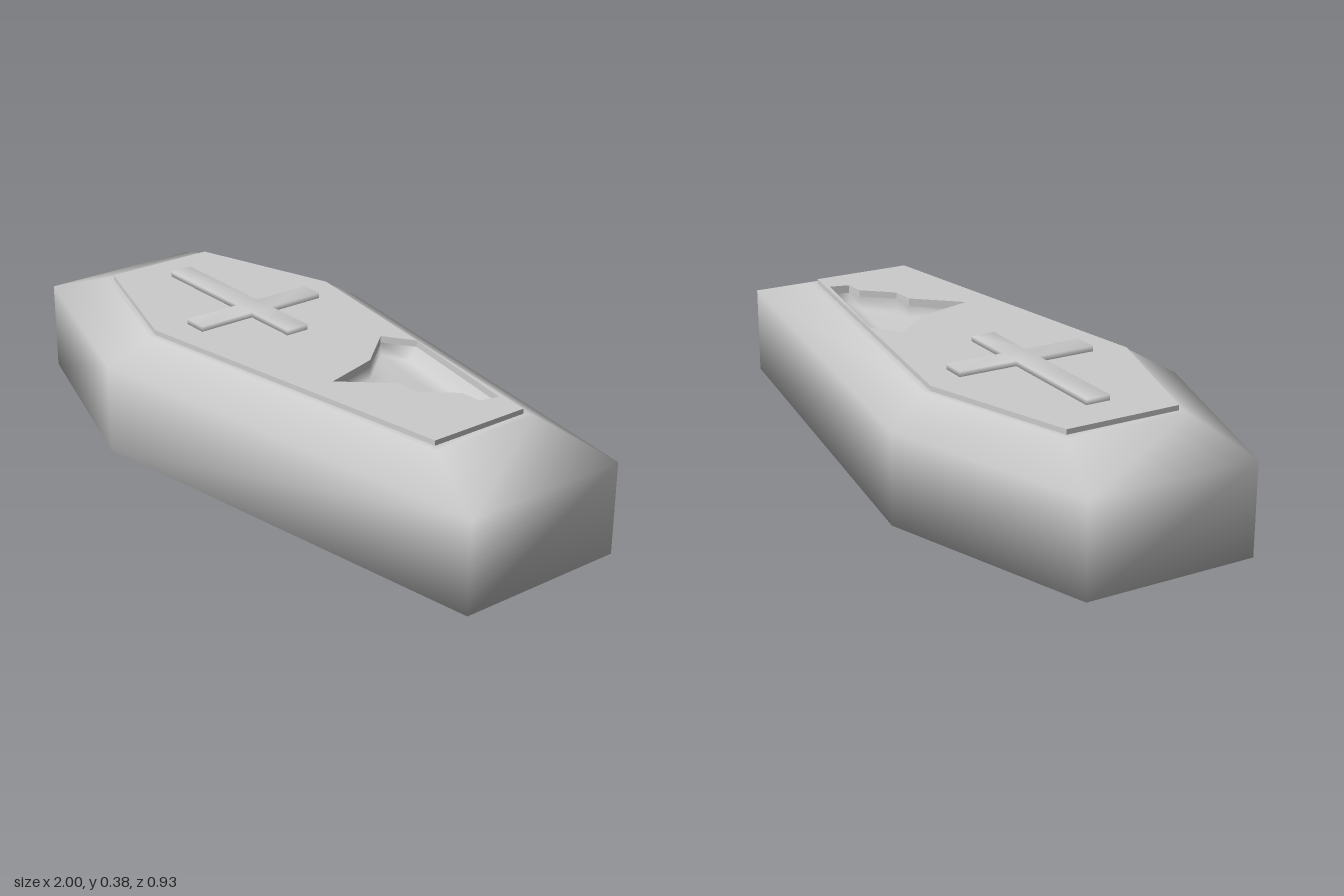
import * as THREE from 'three';
import { mergeVertices } from 'three/addons/utils/BufferGeometryUtils.js';

const grey = () => new THREE.MeshStandardMaterial({ color: 0xcccccc, side: THREE.DoubleSide });
const vec = ([x, y]) => new THREE.Vector2(x, y);

// Six-sided outline, shoulders nearer the -x end, counter-clockwise from above
const hexagon = (head, shoulderX, foot, headZ, shoulderZ, footZ) => [
  [foot, -footZ], [foot, footZ], [shoulderX, shoulderZ],
  [head, headZ], [head, -headZ], [shoulderX, -shoulderZ],
];

// Smoothly shaded skin through rings of equal point count, closed at the first ring
function loft(rings, closeTop) {
  const n = rings[0].points.length;
  const pos = [], index = [];
  for (const { points, y } of rings) for (const [px, pz] of points) pos.push(px, y, -pz);
  for (let r = 0; r < rings.length - 1; r++) {
    for (let i = 0; i < n; i++) {
      const a = r * n + i, b = r * n + (i + 1) % n;
      index.push(a, b, b + n, a, b + n, a + n);
    }
  }
  const caps = THREE.ShapeUtils.triangulateShape(rings[0].points.map(vec), []);
  for (const [a, b, c] of caps) index.push(a, c, b);
  if (closeTop) {
    const o = (rings.length - 1) * n;
    const top = THREE.ShapeUtils.triangulateShape(rings[rings.length - 1].points.map(vec), []);
    for (const [a, b, c] of top) index.push(o + a, o + b, o + c);
  }
  const geo = new THREE.BufferGeometry();
  geo.setAttribute('position', new THREE.Float32BufferAttribute(pos, 3));
  geo.setIndex(index);
  geo.computeVertexNormals();
  // The top cap only shapes the normals; the lid covers the opening
  if (closeTop) geo.setIndex(index.slice(0, -3 * (n - 2)));
  return geo;
}

// Horizontal slab between two heights
function slab(points, y0, y1, hole) {
  const shape = new THREE.Shape(points.map(vec));
  if (hole) shape.holes.push(new THREE.Path(hole.map(vec)));
  const geo = new THREE.ExtrudeGeometry(shape, { depth: y1 - y0, bevelEnabled: false });
  return geo.rotateX(-Math.PI / 2).translate(0, y0, 0);
}

export function createModel() {
  const model = new THREE.Group();
  model.name = 'coffin';
  const add = (name, geo) => {
    const mesh = new THREE.Mesh(geo, grey());
    mesh.name = name;
    model.add(mesh);
  };

  // Casket with sloping upper edges and a narrow flat rim
  const side = hexagon(-1, -0.35, 1, 0.26, 0.465, 0.26);
  const rim = hexagon(-0.79, -0.31, 0.77, 0.185, 0.34, 0.173);
  const lid = hexagon(-0.765, -0.31, 0.745, 0.175, 0.32, 0.157);
  add('casket', loft([
    { points: side, y: 0 },
    { points: side, y: 0.275 },
    { points: rim, y: 0.35 },
    { points: lid, y: 0.35 },
  ], true));

  // Lid with a jagged break
  const hole = [
    [0.65, 0.158], [0.22, 0.236], [0.13, 0.175], [0.245, 0.04], [0.295, -0.135],
    [0.415, 0], [0.49, 0.005], [0.57, 0.095], [0.635, 0.1],
  ];
  add('lid', slab(lid, 0.34, 0.365, hole));

  // Hollow under the break, one wall leaning inward
  const floor = hole.map(([x, z], i) => (i < 2 ? [x - 0.01, z - 0.025] : [x, z]));
  add('hollow', loft([{ points: floor, y: 0.305 }, { points: hole, y: 0.345 }], false));

  // Raised cross with softened shading
  const [x0, xa, xb, x1, h, v] = [-0.645, -0.29, -0.215, -0.04, 0.037, 0.218];
  const cross = slab([
    [x1, -h], [x1, h], [xb, h], [xb, v], [xa, v], [xa, h],
    [x0, h], [x0, -h], [xa, -h], [xa, -v], [xb, -v], [xb, -h],
  ], 0.36, 0.381);
  cross.deleteAttribute('normal');
  cross.deleteAttribute('uv');
  const soft = mergeVertices(cross);
  soft.computeVertexNormals();
  add('cross', soft);

  return model;
}
